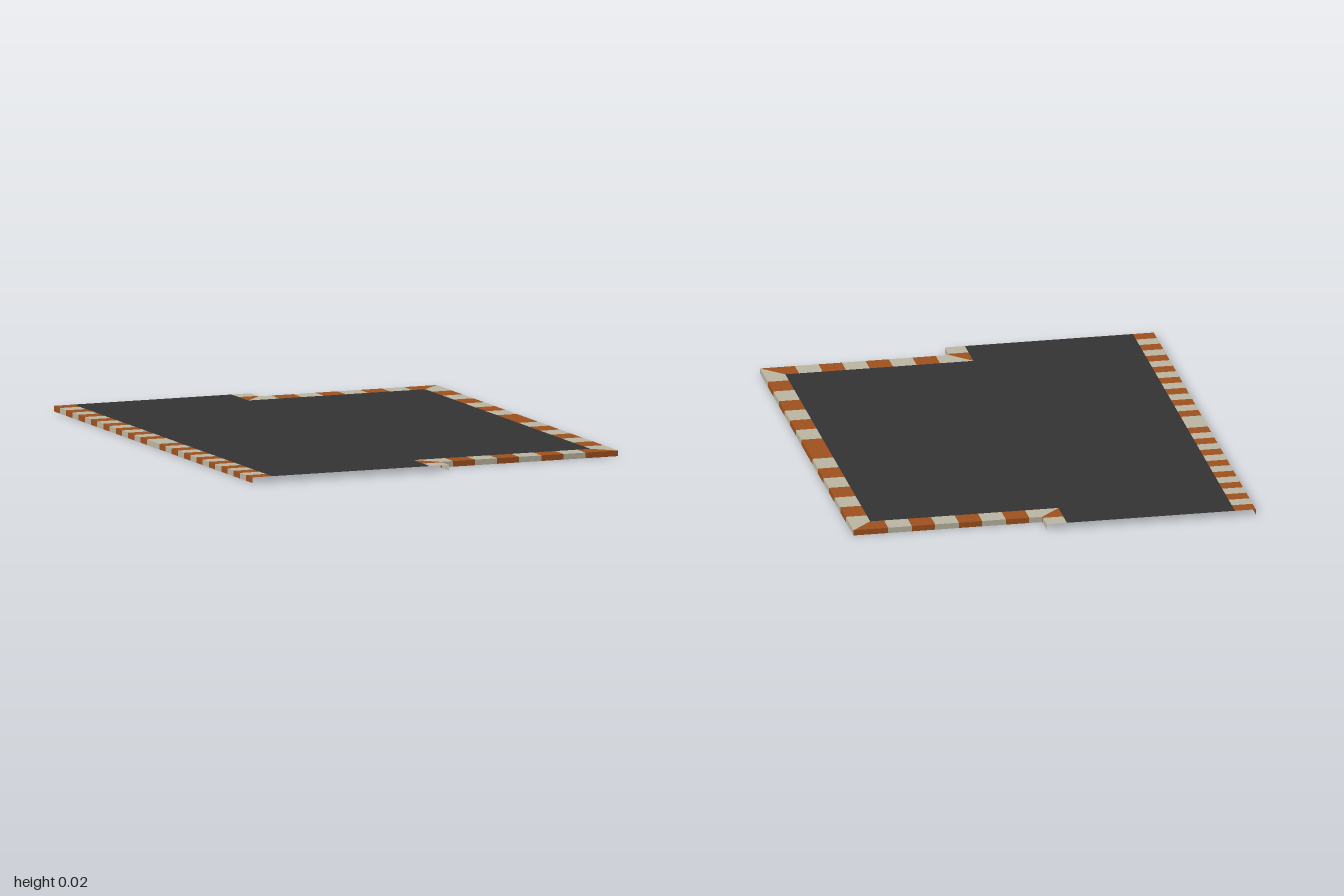
import * as THREE from 'three';

const H = 0.022;            // height of the deck and kerb tops
const X = 0.792, XI = 0.709; // outer and inner line of the long kerbs
const Z = 0.915, ZI = 0.832; // outer and inner line of the short kerbs
const N = 0.04;             // half width of the notch kerb, around x = 0

const material = (name, color) => {
  const m = new THREE.MeshStandardMaterial({ color, side: THREE.DoubleSide });
  m.name = name;
  return m;
};

// One stripe: flat top from outer edge a-b to inner edge d-c, plus the skirt under a-b
function addStripe(out, a, b, c, d) {
  const up = (b[1] - a[1]) * (d[0] - a[0]) - (b[0] - a[0]) * (d[1] - a[1]);
  if (up < 0) [a, b, c, d] = [b, a, d, c];
  const p = ([x, z], y) => [x, y, z];
  const quad = (q0, q1, q2, q3) => out.push(...q0, ...q1, ...q2, ...q0, ...q2, ...q3);
  quad(p(a, H), p(b, H), p(c, H), p(d, H));
  quad(p(b, H), p(a, H), p(a, 0), p(b, 0));
}

// Mitred kerb along one axis; cuts are the stripe borders on the outer line
function makeKerb(name, alongX, outer, inner, cuts, innerStart, innerEnd, colours) {
  const innerCuts = cuts.slice();
  innerCuts[0] = innerStart;
  innerCuts[cuts.length - 1] = innerEnd;
  const at = (t, side) => (alongX ? [t, side] : [side, t]);
  const lists = [[], []];
  for (let i = 0; i < cuts.length - 1; i++) {
    addStripe(lists[i % 2], at(cuts[i], outer), at(cuts[i + 1], outer),
      at(innerCuts[i + 1], inner), at(innerCuts[i], inner));
  }
  const group = new THREE.Group();
  group.name = name;
  lists.forEach((list, i) => {
    const g = new THREE.BufferGeometry();
    g.setAttribute('position', new THREE.Float32BufferAttribute(list, 3));
    g.computeVertexNormals();
    const mesh = new THREE.Mesh(g, colours[i]);
    mesh.name = name + colours[i].name + 'Stripes';
    group.add(mesh);
  });
  return group;
}

export function createModel() {
  const orange = material('Orange', 0xa0521f);
  const cream = material('Cream', 0xbdb7a3);
  const asphalt = material('Asphalt', 0x343434);
  const model = new THREE.Group();
  model.name = 'kerbedTrackSection';

  // Road surface: a single sheet level with the kerb tops
  const shape = new THREE.Shape([
    [-XI, -1], [-N, -1], [-N, -ZI], [XI, -ZI], [XI, ZI], [-N, ZI], [-N, 1], [-XI, 1],
  ].map(([x, y]) => new THREE.Vector2(x, y)));
  const road = new THREE.Mesh(new THREE.ShapeGeometry(shape).rotateX(-Math.PI / 2).translate(0, H, 0), asphalt);
  road.name = 'roadSurface';
  model.add(road);

  // Straight kerb with narrow stripes and a double one in the middle
  const narrow = [];
  for (let i = 0; i <= 32; i++) if (i !== 16) narrow.push(-1 + i / 16);
  model.add(makeKerb('straightKerb', false, -X, -XI, narrow, -1, 1, [orange, cream]));

  // Long kerb with wide stripes, mitred at both ends
  const half = [0.108, 0.218, 0.327, 0.436, 0.545, 0.655, 0.764, Z];
  const wide = [...half.map((z) => -z).reverse(), ...half];
  model.add(makeKerb('longKerb', false, X, XI, wide, -ZI, ZI, [cream, orange]));

  // Short kerbs and the notch kerbs that step outwards, front and back
  const short = [N, 0.093, 0.186, 0.28, 0.373, 0.467, 0.56, 0.654, X];
  for (const [s, end] of [[1, 'front'], [-1, 'back']]) {
    model.add(makeKerb(end + 'Kerb', true, s * Z, s * ZI, short, -N, XI, [cream, orange]));
    model.add(makeKerb(end + 'NotchKerb', false, N, -N, [s, s * 0.928, s * Z], s, s * ZI, [cream, orange]));
  }
  return model;
}
